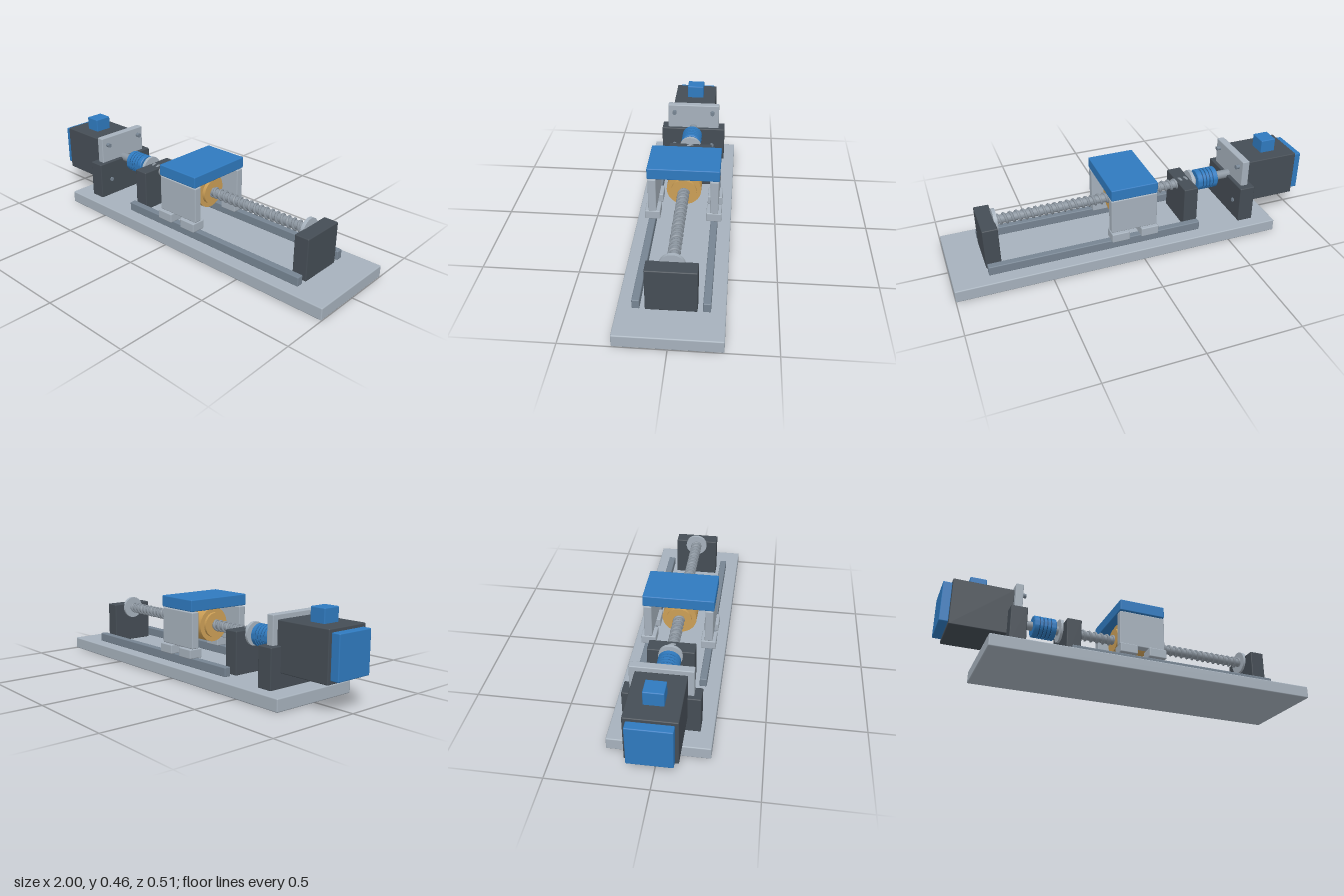
import * as THREE from 'three';
import { RoundedBoxGeometry } from 'three/addons/geometries/RoundedBoxGeometry.js';
import { toCreasedNormals } from 'three/addons/utils/BufferGeometryUtils.js';

const AXIS_Y = 0.267;

function paint(name, color) {
  const m = new THREE.MeshStandardMaterial({ color });
  m.name = name;
  return m;
}

export function createModel() {
  const model = new THREE.Group();
  model.name = 'linearActuator';

  const aluminium = paint('aluminium', 0xa6b1bc);
  const railSteel = paint('railSteel', 0x768492);
  const screwSteel = paint('screwSteel', 0x8c96a0);
  const charcoal = paint('charcoal', 0x454d55);
  const blue = paint('blue', 0x2f7abf);
  const darkBlue = paint('darkBlue', 0x1d4c7c);
  const bronze = paint('bronze', 0xcc9f56);

  function add(name, geometry, material, x = 0, y = 0, z = 0) {
    const mesh = new THREE.Mesh(geometry, material);
    mesh.name = name;
    mesh.position.set(x, y, z);
    model.add(mesh);
    return mesh;
  }

  // softly rounded box given by its extents
  function box(name, mat, x0, x1, y0, y1, z0, z1, r = 0.005) {
    const g = new RoundedBoxGeometry(x1 - x0, y1 - y0, z1 - z0, 2, r);
    return add(name, g, mat, (x0 + x1) / 2, (y0 + y1) / 2, (z0 + z1) / 2);
  }

  // cylinder lying along x
  function rod(name, mat, x0, x1, radius, y = AXIS_Y, z = 0, sides = 40) {
    const g = new THREE.CylinderGeometry(radius, radius, x1 - x0, sides);
    g.rotateZ(-Math.PI / 2);
    return add(name, g, mat, (x0 + x1) / 2, y, z);
  }

  // base plate
  box('basePlate', aluminium, -0.78, 1, 0, 0.066, -0.254, 0.254, 0.006);

  // rails, slider blocks and carriage walls, mirrored front to back
  for (const s of [-1, 1]) {
    const side = (name, mat, x0, x1, y0, y1, a, b, r) =>
      box(name, mat, x0, x1, y0, y1, Math.min(s * a, s * b), Math.max(s * a, s * b), r);
    side('rail', railSteel, -0.348, 0.815, 0.064, 0.114, 0.147, 0.184);
    side('sliderBlock', aluminium, -0.096, 0, 0.113, 0.163, 0.123, 0.204);
    side('sliderBlock', aluminium, 0.066, 0.163, 0.113, 0.163, 0.123, 0.204);
    side('carriageWall', aluminium, -0.093, 0.161, 0.163, 0.356, 0.143, 0.186);
  }

  // carriage top and ball nut
  box('carriageTop', blue, -0.093, 0.161, 0.36, 0.422, -0.19, 0.19);
  box('nutBracket', aluminium, -0.035, 0.005, 0.3, 0.361, -0.05, 0.05);
  rod('ballNut', bronze, -0.045, 0.1, 0.092);
  rod('nutCollar', bronze, -0.06, 0.118, 0.067);

  // bearing blocks with their flange discs
  for (const x of [-0.361, 0.737]) {
    box('bearingBlock', charcoal, x, x + 0.08, 0.064, 0.291, -0.122, 0.122);
    rod('bearingFlange', aluminium, x - 0.013, x + 0.005, 0.062);
  }

  // lead screw: core with a helical thread
  rod('screwCore', screwSteel, -0.36, 0.74, 0.023, AXIS_Y, 0, 24);
  class Helix extends THREE.Curve {
    getPoint(t, target = new THREE.Vector3()) {
      const x = -0.35 + 1.08 * t;
      const a = (x / 0.034) * Math.PI * 2;
      return target.set(x, 0.0245 * Math.cos(a), 0.0245 * Math.sin(a));
    }
  }
  const thread = new Helix();
  thread.arcLengthDivisions = 1200;
  add('screwThread', new THREE.TubeGeometry(thread, 640, 0.0075, 6), screwSteel, 0, AXIS_Y, 0);

  // motor shaft and grooved coupling
  rod('motorShaft', screwSteel, -0.62, -0.36, 0.024, AXIS_Y, 0, 24);
  const r = 0.058;
  const profile = [[0, -0.06], [r - 0.004, -0.06], [r, -0.056]];
  const grooves = [-0.03, -0.01, 0.01, 0.03];
  for (const g of grooves) {
    profile.push([r, g - 0.003], [r - 0.006, g - 0.003], [r - 0.006, g + 0.003], [r, g + 0.003]);
  }
  profile.push([r, 0.056], [r - 0.004, 0.06], [0, 0.06]);
  const lathe = new THREE.LatheGeometry(profile.map(p => new THREE.Vector2(...p)), 40);
  lathe.rotateZ(-Math.PI / 2);
  add('coupling', toCreasedNormals(lathe, 0.6), blue, -0.455, AXIS_Y, 0);
  for (const g of grooves) {
    rod('couplingGroove', darkBlue, -0.455 + g - 0.0029, -0.455 + g + 0.0029, r - 0.004);
  }

  // motor mount: foot, plate and four bolts
  box('motorFoot', charcoal, -0.672, -0.586, 0.064, 0.27, -0.19, 0.19);
  box('motorPlate', aluminium, -0.647, -0.606, 0.12, 0.416, -0.154, 0.154);
  for (const y of [-0.105, 0.105]) {
    for (const z of [-0.115, 0.115]) {
      rod('mountBolt', railSteel, -0.62, y > 0 ? -0.584 : -0.58, 0.012, AXIS_Y + y, z, 16);
    }
  }

  // motor with rear cover and cable connector
  box('motorBody', charcoal, -0.955, -0.645, 0.14, 0.391, -0.125, 0.125);
  box('motorRearCover', blue, -1, -0.953, 0.158, 0.375, -0.108, 0.108);
  box('cableConnector', blue, -0.862, -0.776, 0.386, 0.463, -0.049, 0.049);

  return model;
}
